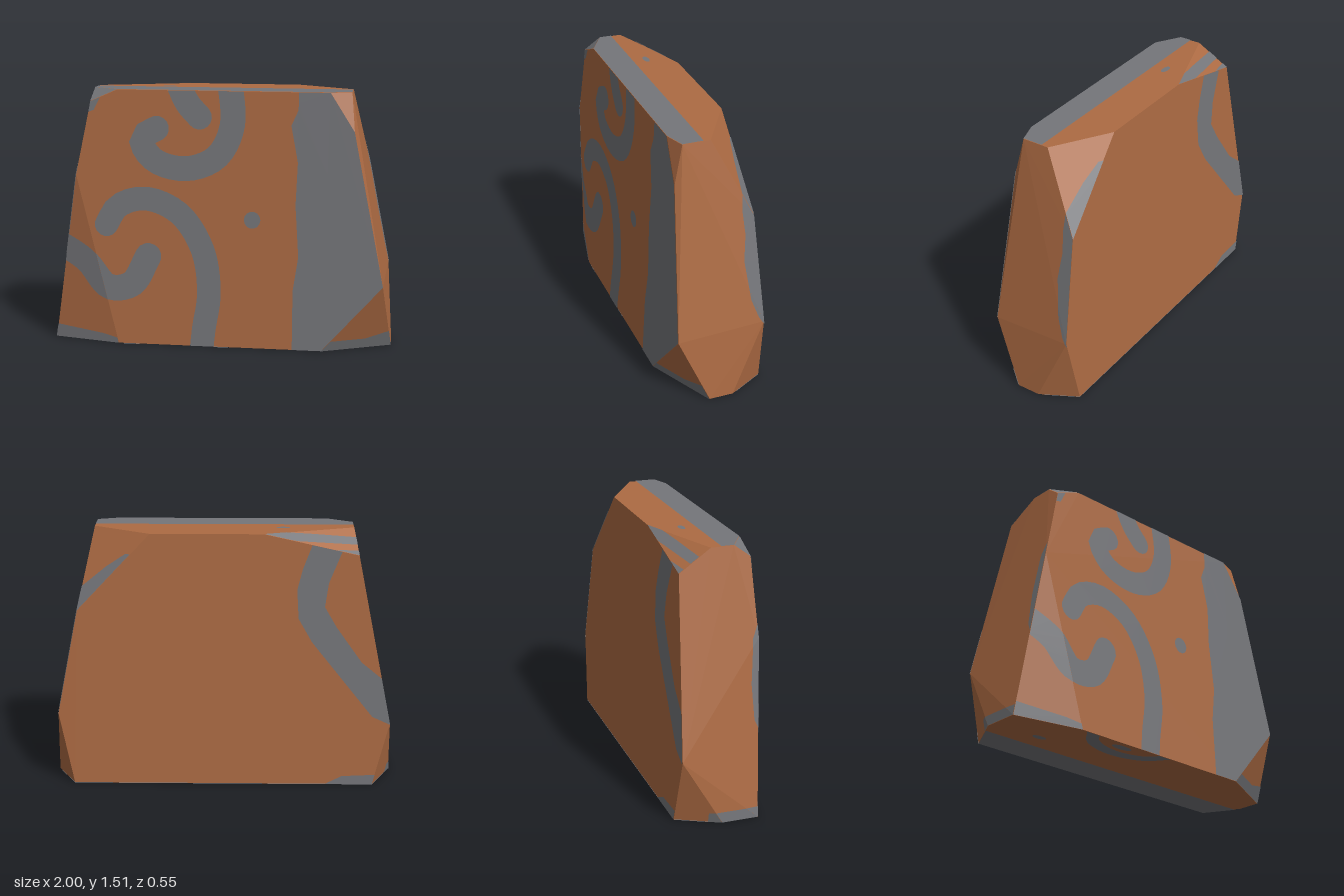
import * as THREE from 'three';
import { ConvexGeometry } from 'three/addons/geometries/ConvexGeometry.js';

// z of the sloping front (and, mirrored, back) plane at height y
const slopeZ = (y) => 0.27 - 0.0467 * y;

// Hewn tapered block with irregularly cut corners
const front = [[-0.6, 1.5], [-0.76, 1.43], [-0.85, 1.0], [-0.6, 0], [0.6, 0], [0.95, 0.39], [0.77, 1.28], [0.63, 1.5]];
const back = [[0.42, 1.5], [-0.23, 1.5], [-0.77, 1.38], [-0.975, 0.38], [-0.88, 0], [0.885, 0], [0.97, 0.43], [0.845, 1.05]];
const sides = [
  [-0.75, 1.5, 0.11], [-0.75, 1.5, -0.02], [0.75, 1.5, 0.16], [0.75, 1.5, 0],
  [-1, 0, 0.18], [-1, 0, -0.03], [1, 0, 0.08], [1, 0, -0.06],
];

function blockGeometry() {
  const pts = sides.map((p) => new THREE.Vector3(...p));
  front.forEach(([x, y]) => pts.push(new THREE.Vector3(x, y, slopeZ(y))));
  back.forEach(([x, y]) => pts.push(new THREE.Vector3(x, y, -slopeZ(y))));
  return new ConvexGeometry(pts);
}

// Outline of a brush stroke with round ends along a smooth path
function stroke(points, width) {
  const curve = new THREE.CatmullRomCurve3(points.map(([u, v]) => new THREE.Vector3(u, v, 0)));
  const n = 28, r = width / 2, left = [], right = [];
  const cap = (c, angle) => Array.from({ length: 7 }, (_, i) => {
    const a = angle - Math.PI / 2 + ((i + 1) * Math.PI) / 8;
    return [c.x + r * Math.cos(a), c.y + r * Math.sin(a)];
  });
  for (let i = 0; i <= n; i++) {
    const p = curve.getPointAt(i / n), t = curve.getTangentAt(i / n);
    left.push([p.x - t.y * r, p.y + t.x * r]);
    right.push([p.x + t.y * r, p.y - t.x * r]);
  }
  const t0 = curve.getTangentAt(0), t1 = curve.getTangentAt(1);
  return [
    ...right, ...cap(curve.getPointAt(1), Math.atan2(t1.y, t1.x)),
    ...left.reverse(), ...cap(curve.getPointAt(0), Math.atan2(-t0.y, -t0.x)),
  ];
}

const oval = (u, v, ru, rv) => Array.from({ length: 14 }, (_, i) => {
  const a = (i / 14) * Math.PI * 2;
  return [u + ru * Math.cos(a), v + rv * Math.sin(a)];
});
const rect = (u0, v0, u1, v1) => [[u0, v0], [u1, v0], [u1, v1], [u0, v1]];

// Clip a convex 2D polygon to a counter-clockwise triangle
function clip(poly, tri) {
  for (let i = 0; i < 3 && poly.length; i++) {
    const a = tri[i], b = tri[(i + 1) % 3], out = [];
    const side = (p) => (b.x - a.x) * (p.y - a.y) - (b.y - a.y) * (p.x - a.x);
    poly.forEach((p, k) => {
      const q = poly[(k + 1) % poly.length], sp = side(p), sq = side(q);
      if (sp >= 0) out.push(p);
      if (sp * sq < 0) out.push(p.clone().lerp(q, sp / (sp - sq)));
    });
    poly = out;
  }
  return poly;
}

// Lay an outline along an axis onto the block's facets whose normal is within [min, max]
const AXES = { x: ['z', 'y'], y: ['x', 'z'], z: ['x', 'y'] };
function paintGeometry(block, axis, sign, outline, min, max) {
  const [u, v] = AXES[axis], pos = block.attributes.position, out = [];
  const flat = outline.map((p) => new THREE.Vector2(...p));
  if (THREE.ShapeUtils.isClockWise(flat)) flat.reverse();
  const pieces = THREE.ShapeUtils.triangulateShape(flat, []);
  for (let i = 0; i < pos.count; i += 3) {
    const c = [0, 1, 2].map((k) => new THREE.Vector3().fromBufferAttribute(pos, i + k));
    const n = new THREE.Triangle(...c).getNormal(new THREE.Vector3());
    const facing = n[axis] * sign;
    if (facing < min || facing > max) continue;
    const tri = c.map((p) => new THREE.Vector2(p[u], p[v]));
    if (THREE.ShapeUtils.isClockWise(tri)) tri.reverse();
    const lift = (p) => {
      const w = new THREE.Vector3();
      w[u] = p.x; w[v] = p.y;
      w[axis] = (n.dot(c[0]) - n[u] * p.x - n[v] * p.y) / n[axis];
      return w.addScaledVector(n, 0.003);
    };
    for (const f of pieces) {
      const poly = clip(f.map((k) => flat[k]), tri).map(lift);
      for (let k = 1; k + 1 < poly.length; k++) out.push(poly[0], poly[k], poly[k + 1]);
    }
  }
  const g = new THREE.BufferGeometry().setFromPoints(out);
  g.computeVertexNormals();
  return g;
}

export function createModel() {
  const clay = new THREE.MeshStandardMaterial({ color: 0xad6b43 });
  clay.name = 'clay orange';
  const grey = new THREE.MeshStandardMaterial({ color: 0x75767a, side: THREE.DoubleSide });
  grey.name = 'stone grey';

  const group = new THREE.Group();
  group.name = 'paintedStone';
  const block = blockGeometry();
  const body = new THREE.Mesh(block, clay);
  body.name = 'stoneBlock';
  group.add(body);

  const paint = (name, axis, sign, outline, min = 0.985, max = 1.01) => {
    const m = new THREE.Mesh(paintGeometry(block, axis, sign, outline, min, max), grey);
    m.name = name;
    group.add(m);
  };

  // Front: swirls, dot and broad band
  paint('upperSwirl', 'z', 1, stroke([[-0.37, 1.28], [-0.46, 1.22], [-0.39, 1.1], [-0.2, 1.05], [-0.02, 1.12], [0.07, 1.3], [0.05, 1.6]], 0.145));
  paint('upperHook', 'z', 1, stroke([[-0.26, 1.58], [-0.19, 1.43], [-0.12, 1.35]], 0.145));
  paint('largeSwirl', 'z', 1, stroke([[-0.67, 0.71], [-0.6, 0.82], [-0.44, 0.87], [-0.24, 0.79], [-0.1, 0.58], [-0.06, 0.32], [-0.09, 0.1], [-0.11, -0.1]], 0.14));
  paint('lowerSwirl', 'z', 1, stroke([[-1.0, 0.6], [-0.8, 0.49], [-0.66, 0.34], [-0.52, 0.36], [-0.42, 0.53]], 0.155), 0.93);
  paint('frontDot', 'z', 1, oval(0.19, 0.76, 0.048, 0.05));
  paint('frontBand', 'z', 1, [[0.43, 0], [0.43, 0.35], [0.46, 0.55], [0.44, 0.85], [0.45, 1.1], [0.41, 1.31], [0.45, 1.4], [0.45, 1.5], [1, 1.5], [1, 0]]);
  paint('frontEdgeMark', 'z', 1, [[-0.8, 1.36], [-0.74, 1.38], [-0.7, 1.46], [-0.8, 1.46]]);

  // Cut corners at the front
  paint('frontCornerPaint', 'z', 1, rect(-0.8, 1.4, -0.5, 1.5), 0.3, 0.7);
  paint('leftFootStripe', 'z', 1, [[-1, 0], [-0.6, 0], [-0.6, 0.03], [-0.7, 0.05], [-1, 0.08]], 0.7, 0.985);
  paint('rightFootStripe', 'z', 1, [[0.6, 0], [1, 0], [1, 0.1], [0.85, 0.06], [0.64, 0.06]], 0.7, 0.985);

  // Top: strip along the front, a dot and the striped back corner
  paint('topStrip', 'y', 1, rect(-0.8, 0.04, 0.8, 0.21), 0.95);
  paint('topDot', 'y', 1, oval(-0.34, -0.04, 0.04, 0.018), 0.95);
  paint('topCornerStripe', 'y', 1, [[-0.8, -0.13], [-0.8, -0.08], [-0.5, -0.13], [-0.2, -0.185], [-0.2, -0.21], [-0.42, -0.2]], 0.6, 0.95);
  paint('topCornerEdge', 'y', 1, [[-0.8, -0.21], [-0.8, -0.17], [-0.6, -0.21]], 0.6, 0.95);

  // Back: curved stripe and foot stripes
  paint('backStripe', 'z', -1, [[-0.51, 1.46], [-0.45, 1.3], [-0.42, 1.18], [-0.43, 1.01], [-0.51, 0.87], [-0.87, 0.42], [-0.98, 0.37],
    [-0.96, 0.62], [-0.8, 0.75], [-0.65, 0.96], [-0.58, 1.08], [-0.6, 1.22], [-0.68, 1.42]]);
  paint('backFootStripe', 'z', -1, [[-0.6, 0], [-0.92, 0], [-0.92, 0.06], [-0.7, 0.05]]);
  paint('backCornerFootStripe', 'z', -1, rect(-1.01, 0, -0.8, 0.07), 0.5, 0.985);

  // Ends: narrow stripes beside the edges
  paint('rightEndStripe', 'x', 1, [[-0.16, 1.2], [-0.155, 1.08], [-0.165, 0.95], [-0.15, 0.8], [-0.18, 0.57], [-0.22, 0.46], [-0.27, 0.38], [-0.25, 1.2]], 0.85);
  paint('rightCornerStripe', 'x', 1, [[-0.155, 1.16], [-0.17, 1.3], [-0.19, 1.38], [-0.23, 1.38], [-0.23, 1.02]], 0.2, 0.85);
  paint('leftEndStripe', 'x', -1, [[0.23, 1.1], [0.19, 1.0], [0.17, 0.75], [0.18, 0.55], [0.24, 0.42]], 0.85);
  paint('leftEndFootStripe', 'x', -1, rect(-0.1, 0, 0.2, 0.06), 0.85);

  // Underside: strip along the back, an arc and dots
  paint('bottomStrip', 'y', -1, rect(-1, -0.28, 1, -0.09), 0.95);
  paint('bottomArc', 'y', -1, stroke([[0.03, 0.29], [-0.06, 0.18], [-0.25, 0.13], [-0.44, 0.18], [-0.54, 0.29]], 0.07), 0.95);
  paint('bottomCurl', 'y', -1, oval(-0.27, 0.22, 0.07, 0.025), 0.95);
  paint('bottomDot', 'y', -1, oval(-0.7, 0.03, 0.045, 0.02), 0.95);

  return group;
}
